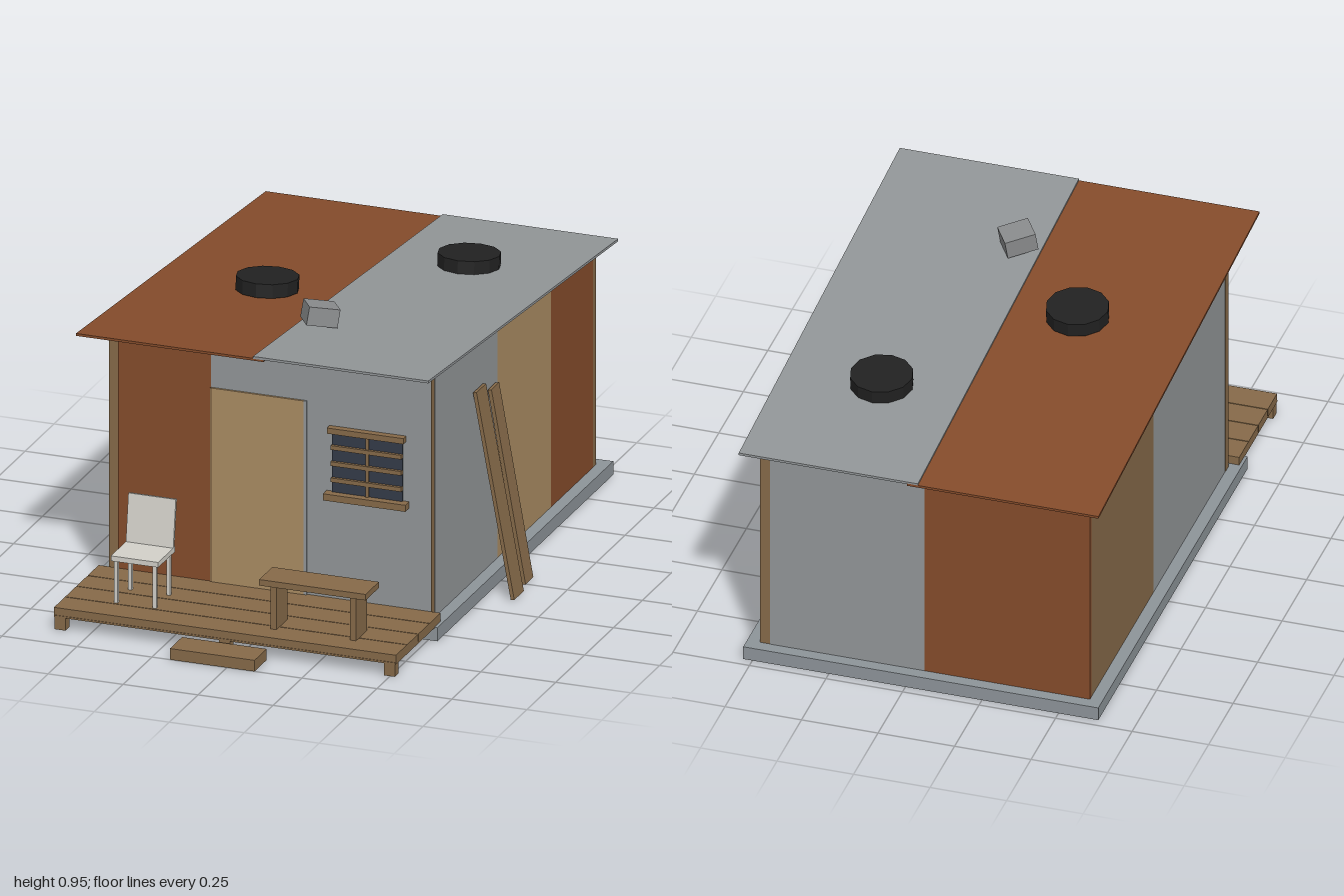
import * as THREE from 'three';

const material = (name, color) => {
  const m = new THREE.MeshStandardMaterial({ color });
  m.name = name;
  return m;
};

export function createModel() {
  const root = new THREE.Group();
  root.name = 'shack';
  const rust = material('rust', 0x854c2b);
  const zinc = material('zinc grey', 0x929698);
  const tan = material('tan board', 0xaa8c63);
  const wood = material('weathered wood', 0x866a49);
  const concrete = material('concrete', 0x8d9499);
  const glass = material('dark glass', 0x343b49);
  const rubber = material('rubber', 0x212121);
  const white = material('off white', 0xd2d0c9);
  const cinder = material('cinder grey', 0x8a8c8d);

  // Box given by its two corners
  function box(name, mat, x0, x1, y0, y1, z0, z1, parent = root) {
    const mesh = new THREE.Mesh(new THREE.BoxGeometry(x1 - x0, y1 - y0, z1 - z0), mat);
    mesh.position.set((x0 + x1) / 2, (y0 + y1) / 2, (z0 + z1) / 2);
    mesh.name = name;
    parent.add(mesh);
    return mesh;
  }
  function group(name) {
    const g = new THREE.Group();
    g.name = name;
    root.add(g);
    return g;
  }

  // Underside of the sloping roof
  const SLOPE = 0.076;
  const roofY = z => 0.889 + SLOPE * (z - 0.645);

  // Upright or flat piece whose top (and optionally bottom) follows the roof slope
  function sloped(name, mat, x0, x1, z0, z1, bottom, lift = 0, parent = root) {
    const geo = new THREE.BoxGeometry(x1 - x0, 1, z1 - z0);
    geo.translate((x0 + x1) / 2, 0, (z0 + z1) / 2);
    const p = geo.attributes.position;
    for (let i = 0; i < p.count; i++) {
      const top = roofY(p.getZ(i)) + lift;
      p.setY(i, p.getY(i) > 0 ? top : bottom(top));
    }
    geo.computeVertexNormals();
    const mesh = new THREE.Mesh(geo, mat);
    mesh.name = name;
    parent.add(mesh);
  }
  const floor = () => 0.045;

  box('foundationSlab', concrete, -0.63, 0.53, 0, 0.045, -0.97, 0.555);

  // Wall panels and corner posts
  const walls = group('walls');
  const T = 0.014;
  const panels = [
    ['frontRustPanel', rust, -0.555, -0.245, 0.5 - T, 0.502],
    ['frontGreyPanel', zinc, -0.245, 0.488, 0.5 - T, 0.5],
    ['rightGreyPanel', zinc, 0.49 - T, 0.49, -0.07, 0.472],
    ['rightTanPanel', tan, 0.49 - T, 0.49, -0.535, -0.07],
    ['rightRustPanel', rust, 0.49 - T, 0.49, -0.9, -0.535],
    ['backGreyPanel', zinc, -0.05, 0.456, -0.93, -0.93 + T],
    ['backRustPanel', rust, -0.59, -0.05, -0.93, -0.93 + T],
    ['leftWoodPanel', wood, -0.59, -0.59 + T, -0.93 + T, -0.28],
    ['leftGreyPanel', zinc, -0.59, -0.59 + T, -0.28, 0.455],
    ['frontLeftPost', wood, -0.591, -0.55, 0.45, 0.484],
    ['frontRightPost', wood, 0.455, 0.489, 0.465, 0.499],
    ['backRightPost', wood, 0.455, 0.489, -0.929, -0.895],
  ];
  for (const [name, mat, x0, x1, z0, z1] of panels) sloped(name, mat, x0, x1, z0, z1, floor, 0, walls);

  // Two overlapping roof sheets
  const roof = group('roof');
  sloped('rustRoofSheet', rust, -0.64, -0.015, -1, 0.645, t => t - 0.008, 0.008, roof);
  sloped('greyRoofSheet', zinc, -0.05, 0.535, -1, 0.645, t => t - 0.008, 0.014, roof);

  // Tyres and a block weighing the roof down
  for (const [x, z] of [[0.215, -0.54], [-0.265, -0.04]]) {
    const tyre = new THREE.Mesh(new THREE.CylinderGeometry(0.1, 0.1, 0.045, 12), rubber);
    tyre.material.flatShading = true;
    tyre.position.set(x, roofY(z) + 0.034, z);
    tyre.rotation.x = -Math.atan(SLOPE);
    tyre.name = 'roofTyre';
    roof.add(tyre);
  }
  const block = box('roofBlock', cinder, -0.05, 0.05, -0.03, 0.03, -0.045, 0.045, roof);
  block.position.set(0.022, 0.912, 0.247);
  block.rotation.set(-0.07, 0.58, -0.14);

  // Door with its frame edges
  const door = group('door');
  box('doorLeaf', tan, -0.24, 0.065, 0.073, 0.72, 0.499, 0.507, door);
  box('doorHingeEdge', wood, -0.247, -0.24, 0.073, 0.72, 0.499, 0.506, door);
  box('doorLatchEdge', zinc, 0.065, 0.075, 0.073, 0.72, 0.499, 0.506, door);

  // Barred window
  const win = group('window');
  box('windowPane', glass, 0.16, 0.395, 0.425, 0.635, 0.499, 0.507, win);
  box('windowLintel', wood, 0.15, 0.405, 0.629, 0.648, 0.5, 0.524, win);
  box('windowSill', wood, 0.14, 0.415, 0.408, 0.43, 0.5, 0.533, win);
  box('windowMullion', wood, 0.274, 0.284, 0.43, 0.63, 0.5, 0.513, win);
  for (const y of [0.473, 0.527, 0.581]) box('windowBar', wood, 0.16, 0.395, y - 0.007, y + 0.007, 0.5, 0.517, win);

  // Porch deck, its feet and the step
  const porch = group('porch');
  for (let i = 0; i < 4; i++) {
    const z = 0.5 + i * 0.0975;
    box('deckPlank', wood, -0.62, 0.52, 0.046, 0.073, z, z + 0.0945, porch);
  }
  box('deckUnderside', wood, -0.62, 0.52, 0.042, 0.048, 0.5, 0.889, porch);
  for (const x of [-0.6, -0.052, 0.498]) box('deckFoot', wood, x - 0.018, x + 0.018, 0, 0.044, 0.853, 0.886, porch);
  box('step', wood, -0.19, 0.092, 0, 0.037, 0.895, 1, porch);

  // Bench
  const bench = group('bench');
  box('benchTop', wood, 0.04, 0.395, 0.216, 0.236, 0.71, 0.825, bench);
  for (const x of [0.085, 0.35]) box('benchLeg', wood, x - 0.01, x + 0.01, 0.073, 0.216, 0.72, 0.817, bench);

  // Chair with a leaning backrest
  const chair = group('chair');
  box('chairSeat', white, -0.468, -0.31, 0.214, 0.231, 0.645, 0.79, chair);
  for (const x of [-0.454, -0.325]) {
    for (const z of [0.657, 0.777]) box('chairLeg', white, x - 0.006, x + 0.006, 0.073, 0.215, z - 0.006, z + 0.006, chair);
  }
  const back = box('chairBack', white, -0.468, -0.31, 0.227, 0.386, 0.639, 0.649, chair);
  back.rotation.x = -0.14;

  // Boards leaning on the right wall: bottom x, height, z centre, width, twist
  for (const [x, h, z, w, twist] of [[0.625, 0.675, 0.108, 0.083, 0], [0.61, 0.638, -0.017, 0.067, 0.012]]) {
    const dx = x - 0.499;
    const board = box('leaningBoard', wood, -0.006, 0.006, -Math.hypot(dx, h) / 2, Math.hypot(dx, h) / 2, -w / 2, w / 2);
    board.position.set(0.499 + dx / 2, h / 2 + 0.003, z);
    board.rotation.set(twist, 0, Math.atan2(dx, h));
  }
  return root;
}
